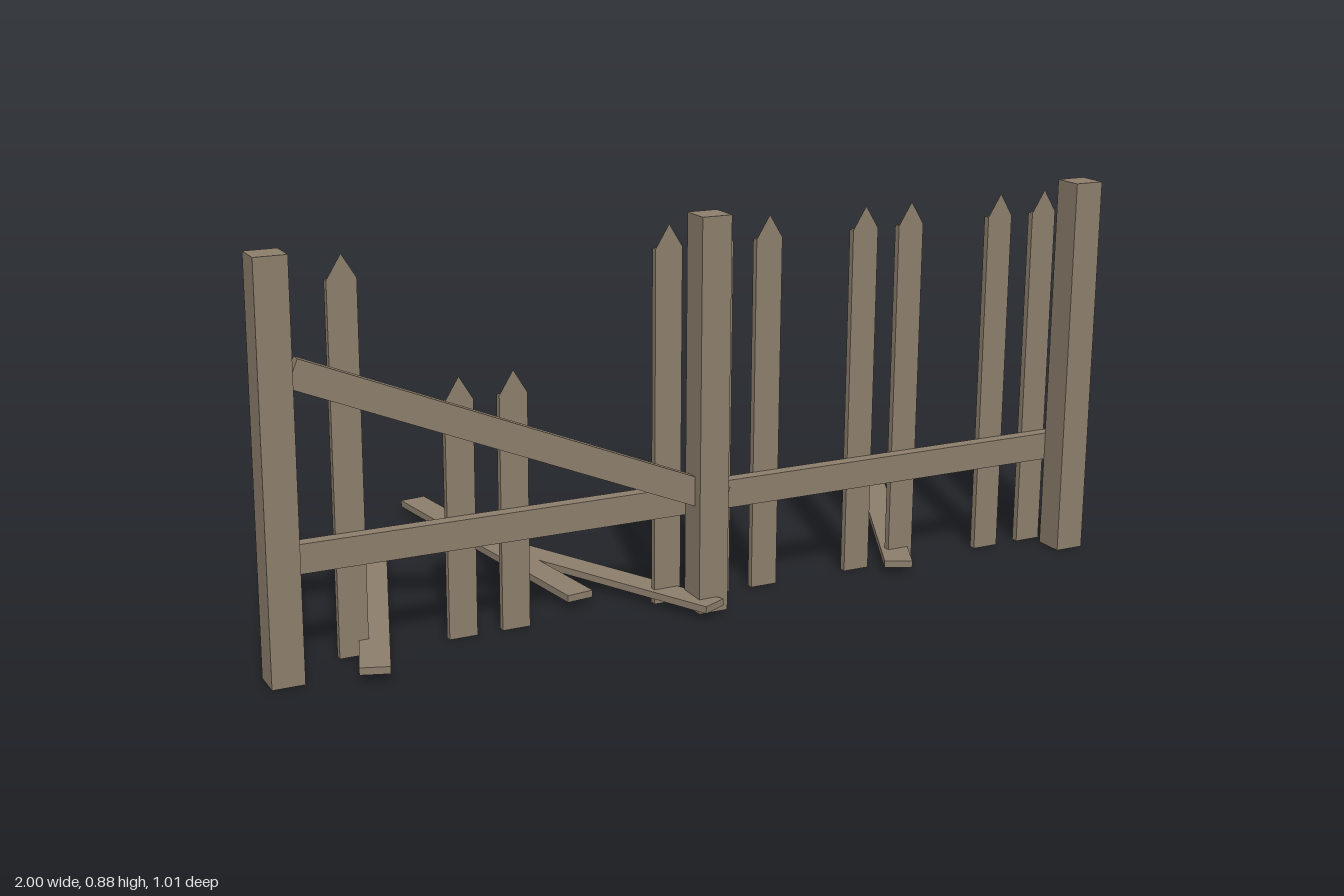
import * as THREE from 'three';

export function createModel() {
  const group = new THREE.Group();
  const wood = new THREE.MeshStandardMaterial({ color: 0x8b7d6b });
  wood.name = 'weatheredWood';

  const add = (name, geometry, x, y, z, parent = group) => {
    const mesh = new THREE.Mesh(geometry, wood);
    mesh.name = name;
    mesh.position.set(x, y, z);
    parent.add(mesh);
    return mesh;
  };

  // Square posts
  const postGeo = new THREE.BoxGeometry(0.07, 0.885, 0.07);
  for (const x of [-0.965, 0, 0.965]) add('post', postGeo, x, 0.4425, 0.405);

  // Long rail behind the posts
  add('rail', new THREE.BoxGeometry(1.93, 0.064, 0.03), 0, 0.242, 0.356);

  // Fallen rail, slanting down to the middle post
  const brace = add('fallenRail', new THREE.BoxGeometry(1.044, 0.062, 0.026), -0.442, 0.444, 0.403);
  brace.rotation.z = Math.atan2(-0.398, 0.965);

  // Pickets with flat, pointed tips open along the slopes
  const W = 0.064, T = 0.016;
  const tipGeo = new THREE.ShapeGeometry(new THREE.Shape([
    new THREE.Vector2(-W / 2, 0), new THREE.Vector2(W / 2, 0), new THREE.Vector2(0, 0.052),
  ]));
  const picket = (x, height) => {
    const p = new THREE.Group();
    p.name = 'picket';
    p.position.set(x, 0, 0.334);
    group.add(p);
    add('picketBoard', new THREE.BoxGeometry(W, height, T), 0, height / 2, 0, p);
    add('picketTipFront', tipGeo, 0, height, T / 2, p);
    add('picketTipBack', tipGeo, 0, height, -T / 2, p).rotation.y = Math.PI;
  };
  for (const x of [-0.794, -0.064, 0.06, 0.182, 0.428, 0.548, 0.791, 0.914]) picket(x, 0.805);
  for (const x of [-0.55, -0.428]) picket(x, 0.525);

  // Loose boards lying on the ground: end points as x, z pairs
  const boards = [
    [-0.546, -0.262, -0.8, 0.492],
    [-0.357, -0.505, -0.252, 0.288],
    [-0.355, -0.235, -0.012, 0.47],
    [0.849, -0.298, 0.496, 0.417],
  ];
  for (const [x1, z1, x2, z2] of boards) {
    const length = Math.hypot(x2 - x1, z2 - z1);
    const board = add('looseBoard', new THREE.BoxGeometry(W, T, length), (x1 + x2) / 2, 0.026, (z1 + z2) / 2);
    board.rotation.y = Math.atan2(x2 - x1, z2 - z1);
  }

  return group;
}
